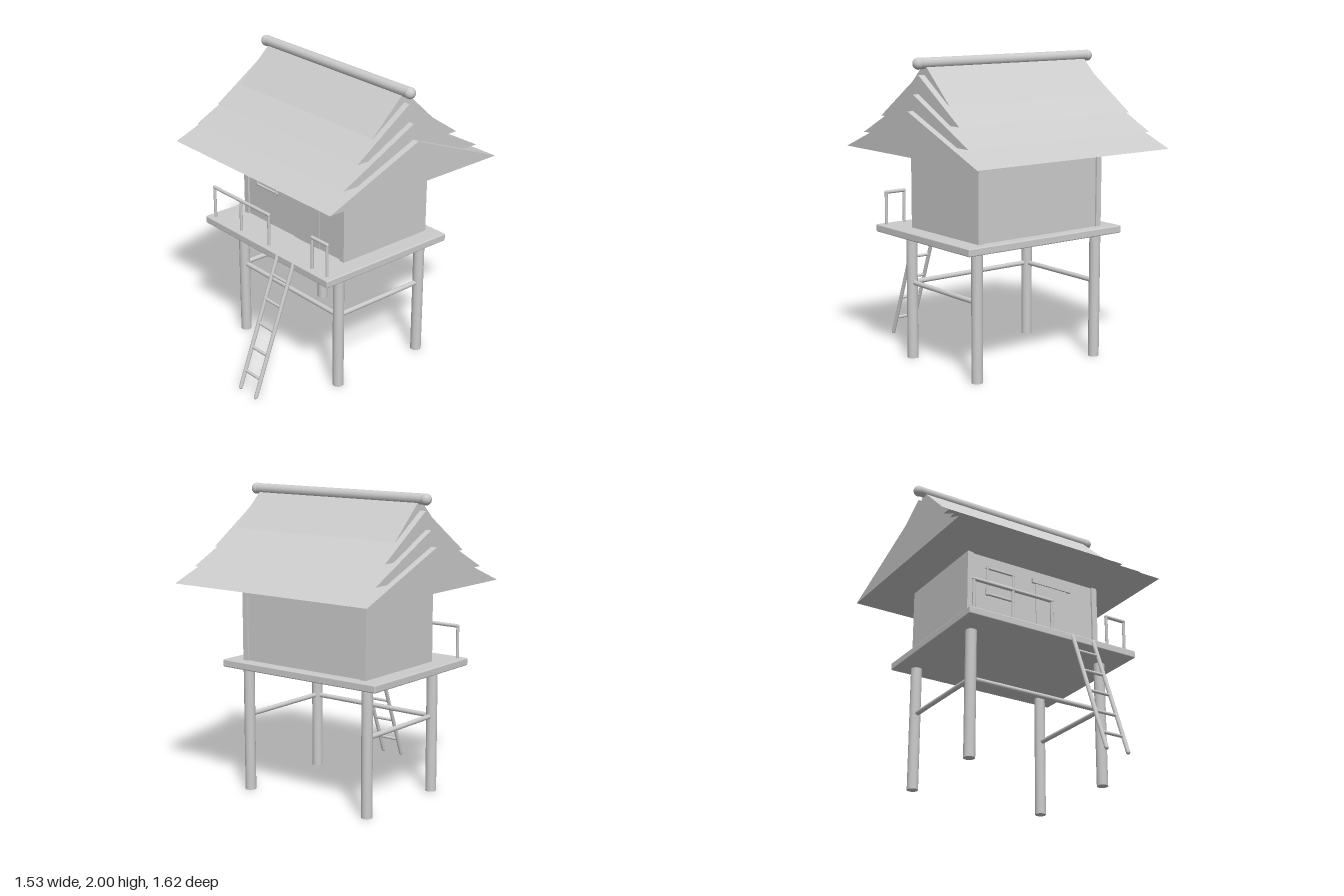
import * as THREE from 'three';
import { RoundedBoxGeometry } from 'three/addons/geometries/RoundedBoxGeometry.js';

const wood = new THREE.MeshStandardMaterial({ color: 0xcccccc });
wood.name = 'pale grey';

export function createModel() {
  const hut = new THREE.Group();
  hut.name = 'stiltHouse';

  const add = (name, geometry, x = 0, y = 0, z = 0) => {
    const mesh = new THREE.Mesh(geometry, wood);
    mesh.name = name;
    mesh.position.set(x, y, z);
    hut.add(mesh);
    return mesh;
  };

  // Box given by its lower and upper limits on each axis
  const block = (name, [x0, x1], [y0, y1], [z0, z1]) =>
    add(name, new THREE.BoxGeometry(x1 - x0, y1 - y0, z1 - z0),
      (x0 + x1) / 2, (y0 + y1) / 2, (z0 + z1) / 2);

  // Round-ended pole between two points
  const pole = (name, from, to, radius) => {
    const a = new THREE.Vector3(...from), b = new THREE.Vector3(...to);
    const mesh = add(name, new THREE.CapsuleGeometry(radius, a.distanceTo(b), 4, 14));
    mesh.position.copy(a).lerp(b, 0.5);
    mesh.quaternion.setFromUnitVectors(new THREE.Vector3(0, 1, 0), b.sub(a).normalize());
    return mesh;
  };

  // Stilts and side braces
  const frontZ = 0.275, backZ = -0.428;
  for (const x of [-0.484, 0.484]) {
    for (const z of [frontZ, backZ])
      add('stilt', new THREE.CylinderGeometry(0.036, 0.036, 0.84, 24), x, 0.42, z);
    pole('sideBrace', [x, 0.51, frontZ], [x, 0.51, backZ], 0.016);
  }
  pole('frontBrace', [-0.484, 0.51, frontZ], [0.484, 0.51, frontZ], 0.016);

  // Platform
  add('platform', new RoundedBoxGeometry(1.24, 0.05, 1.02, 2, 0.008), 0, 0.855, -0.021);

  // Walls: side panels stand slightly proud of the front and back panels
  const wallY = [0.88, 1.42];
  for (const s of [-1, 1])
    block('sideWall', s < 0 ? [-0.5, -0.46] : [0.46, 0.5], wallY, [-0.465, 0.249]);
  block('frontWall', [-0.46, 0.46], wallY, [0.2, 0.236]);
  block('backWall', [-0.46, 0.46], wallY, [-0.453, -0.417]);

  // Door and lintel
  block('door', [0.02, 0.255], [0.88, 1.31], [0.236, 0.242]);
  block('doorLintel', [-0.01, 0.287], [1.31, 1.342], [0.234, 0.25]);

  // Window lattice
  for (const x of [-0.355, -0.16])
    pole('windowUpright', [x, 1.125, 0.248], [x, 1.33, 0.248], 0.009);
  for (const y of [1.13, 1.22, 1.315])
    pole('windowBar', [-0.36, y, 0.248], [-0.155, y, 0.248], 0.008);

  // Front railings
  const railZ = 0.444;
  for (const posts of [[-0.567, -0.285, 0.003], [0.428, 0.567]]) {
    for (const x of posts) pole('railPost', [x, 0.87, railZ], [x, 1.09, railZ], 0.01);
    pole('handrail', [posts[0], 1.093, railZ], [posts[posts.length - 1], 1.093, railZ], 0.012);
  }

  // Ladder
  const top = { y: 0.865, z: 0.484 }, foot = { y: 0.025, z: 0.8 };
  for (const x of [0.134, 0.291])
    pole('ladderRail', [x, foot.y, foot.z], [x, top.y, top.z], 0.013);
  for (const y of [0.137, 0.29, 0.443, 0.597, 0.75]) {
    const z = THREE.MathUtils.mapLinear(y, foot.y, top.y, foot.z, top.z);
    pole('ladderRung', [0.134, y, z], [0.291, y, z], 0.01);
  }

  // Stacked gable roof tiers: half length, half depth, eave height, ridge height
  const ridgeZ = -0.106;
  const tiers = [
    [0.765, 0.7, 1.4, 1.68],
    [0.722, 0.561, 1.5, 1.78],
    [0.682, 0.416, 1.615, 1.895],
    [0.638, 0.257, 1.725, 1.965],
  ];
  for (const [halfX, halfZ, eave, ridge] of tiers) {
    const gable = new THREE.Shape();
    gable.moveTo(-halfZ, eave).lineTo(halfZ, eave).lineTo(0, ridge).closePath();
    const geometry = new THREE.ExtrudeGeometry(gable, { depth: halfX * 2, bevelEnabled: false });
    geometry.translate(0, 0, -halfX).rotateY(Math.PI / 2);
    add('roofTier', geometry, 0, 0, ridgeZ);
  }

  // Ridge pole with rounded end knobs
  pole('ridgePole', [-0.68, 1.965, ridgeZ], [0.68, 1.965, ridgeZ], 0.034);
  for (const x of [-0.68, 0.68])
    add('ridgeKnob', new THREE.SphereGeometry(0.037, 20, 14), x, 1.964, ridgeZ);

  return hut;
}
